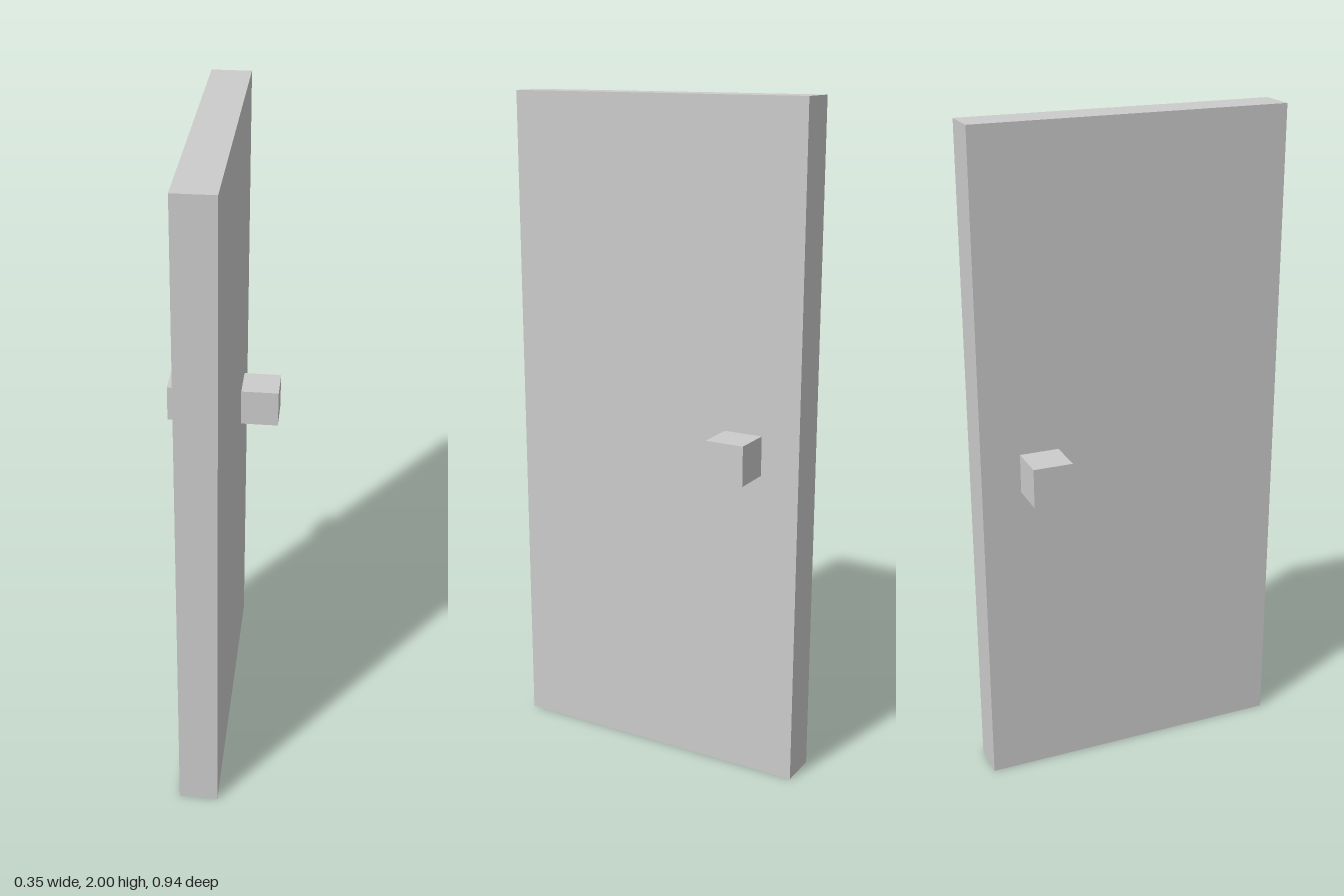
import * as THREE from 'three';

const T = 2 / 17; // panel thickness, also the knob size

export function createModel() {
  const model = new THREE.Group();
  model.name = 'door';
  const material = new THREE.MeshStandardMaterial({ color: 0xcccccc, flatShading: true });

  const addBox = (name, size, position) => {
    const mesh = new THREE.Mesh(new THREE.BoxGeometry(...size), material);
    mesh.name = name;
    mesh.position.set(...position);
    model.add(mesh);
  };

  // Tall slab
  addBox('doorPanel', [T, 2, 8 * T], [0, 1, 0]);

  // Cube knob on each face, near the back edge
  for (const [name, side] of [['leftKnob', 1], ['rightKnob', -1]]) {
    addBox(name, [T, T, T], [side * T, 1, -2.5 * T]);
  }
  return model;
}
